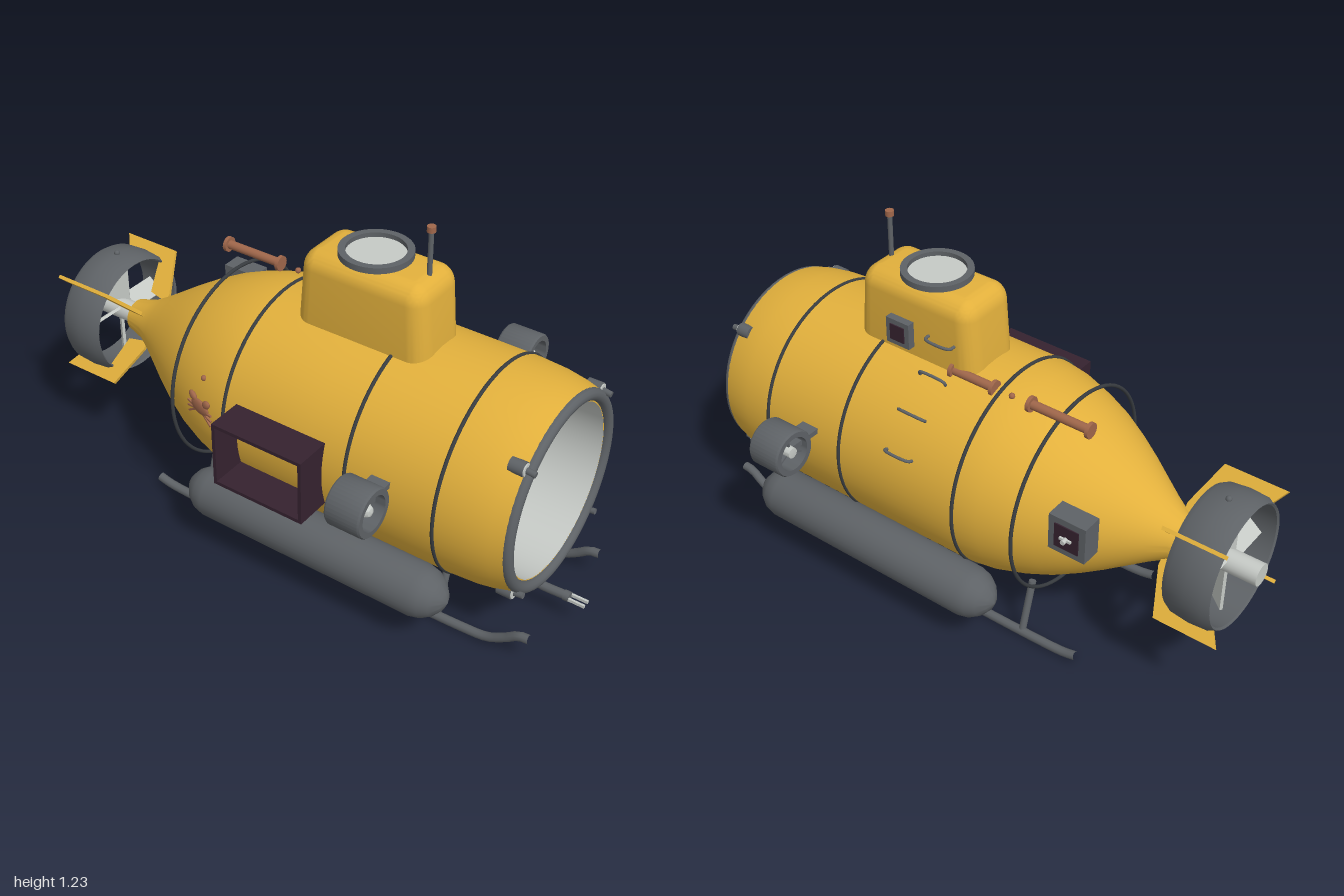
import * as THREE from 'three';
import { toCreasedNormals } from 'three/addons/utils/BufferGeometryUtils.js';
import { RoundedBoxGeometry } from 'three/addons/geometries/RoundedBoxGeometry.js';

const CY = 0.485; // height of the hull axis

export function createModel() {
  const root = new THREE.Group();
  root.name = 'submarine';
  const paint = (name, color, side = THREE.FrontSide) => {
    const m = new THREE.MeshStandardMaterial({ color, side });
    m.name = name;
    return m;
  };
  const yellow = paint('yellow', 0xe2b03c);
  const steel = paint('steel', 0x5e6266);
  const band = paint('darkBand', 0x383c40);
  const pale = paint('paleGrey', 0xc6cac6);
  const plum = paint('darkPlum', 0x35222f);
  const copper = paint('copper', 0xa0674b);

  const V = (p) => new THREE.Vector3(...p);
  const add = (name, geo, mat, pos = [0, 0, 0], rot = [0, 0, 0], parent = root) => {
    const m = new THREE.Mesh(geo, mat);
    m.name = name;
    m.position.set(...pos);
    m.rotation.set(...rot);
    parent.add(m);
    return m;
  };
  const box = (name, mat, size, pos, rot) => add(name, new THREE.BoxGeometry(...size), mat, pos, rot);
  // Turned part about the x axis, points are [x, radius]
  const turned = (name, pts, mat, pos = [0, CY, 0], seg = 64) => {
    const g = new THREE.LatheGeometry(pts.map(([x, r]) => new THREE.Vector2(r, x)), seg);
    g.rotateZ(-Math.PI / 2);
    return add(name, toCreasedNormals(g, 0.6), mat, pos);
  };
  const rod = (name, mat, a, b, r, seg = 16) => {
    const d = V(b).sub(V(a));
    const m = add(name, new THREE.CylinderGeometry(r, r, d.length(), seg), mat);
    m.position.copy(V(a)).addScaledVector(d, 0.5);
    m.quaternion.setFromUnitVectors(new THREE.Vector3(0, 1, 0), d.normalize());
    return m;
  };
  const tube = (name, mat, pts, r, seg = 32, pos, rot) =>
    add(name, new THREE.TubeGeometry(new THREE.CatmullRomCurve3(pts.map(V), false, 'centripetal'), seg, r, 10), mat, pos, rot);
  const hoop = (name, mat, x, R, r) =>
    add(name, new THREE.TorusGeometry(R, r, 12, 72), mat, [x, CY, 0], [0, Math.PI / 2, 0]);

  // Hull with open nose and pale cabin inside
  turned('hull', [[-0.79, 0], [-0.79, 0.055], [-0.72, 0.075], [-0.66, 0.11], [-0.6, 0.15], [-0.53, 0.197], [-0.46, 0.24],
    [-0.38, 0.283], [-0.3, 0.315], [-0.21, 0.342], [-0.12, 0.355], [0.2, 0.356], [0.65, 0.355], [0.75, 0.349], [0.82, 0.338],
    [0.865, 0.326], [0.865, 0.283]], yellow);
  turned('cabinInside', [[0.866, 0.284], [0.3, 0.284], [0.3, 0]], pale);
  hoop('noseRing', steel, 0.865, 0.307, 0.02);
  [[-0.34, 0.342], [-0.125, 0.355], [0.335, 0.356], [0.645, 0.355]].forEach(([x, R]) => hoop('hullBand', band, x, R, 0.006));

  // Conning tower, narrowing towards the top
  const tower = new RoundedBoxGeometry(0.48, 0.36, 0.23, 6, 0.06);
  const p = tower.attributes.position;
  for (let i = 0; i < p.count; i++) p.setX(i, p.getX(i) * (0.96 - p.getY(i) * 0.36));
  tower.computeVertexNormals();
  add('tower', toCreasedNormals(tower, 0.8), yellow, [0.21, 0.888, 0]);
  const hatch = new THREE.LatheGeometry([[0.093, 0], [0.115, 0], [0.115, 0.02], [0.093, 0.02], [0.093, 0]]
    .map((q) => new THREE.Vector2(...q)), 48);
  add('hatchRing', toCreasedNormals(hatch, 0.5), steel, [0.2, 1.069, 0]);
  add('hatchGlass', new THREE.CylinderGeometry(0.094, 0.094, 0.006, 48), pale, [0.2, 1.071, 0]);
  rod('antenna', steel, [0.385, 1.03, 0], [0.385, 1.21, 0], 0.008);
  rod('antennaCap', copper, [0.385, 1.207, 0], [0.385, 1.225, 0], 0.014);
  box('towerPanel', steel, [0.09, 0.09, 0.03], [0.25, 0.9, -0.126]);
  box('towerPanelInset', plum, [0.055, 0.055, 0.006], [0.25, 0.9, -0.142]);

  // Ladder rungs up the right side
  const rung = (pos, tilt) => tube('ladderRung', steel,
    [[-0.05, 0, 0], [-0.048, 0.02, 0], [-0.035, 0.027, 0], [0.035, 0.027, 0], [0.048, 0.02, 0], [0.05, 0, 0]], 0.005, 32, pos, [tilt, 0, 0]);
  [0.47, 0.83, 1.2].forEach((a) => rung([0.095, CY + 0.35 * Math.cos(a), -0.35 * Math.sin(a)], -a));
  rung([0.095, 0.92, -0.114], -Math.PI / 2);

  // Copper pipes on the back
  [[-0.46, -0.235, 0.83], [-0.11, 0.06, 0.828]].forEach(([x0, x1, y]) => {
    rod('pipe', copper, [x0, y, -0.11], [x1, y, -0.11], 0.015);
    [x0 + 0.006, x1 - 0.006].forEach((x) => rod('pipeFlange', copper, [x - 0.006, y, -0.11], [x + 0.006, y, -0.11], 0.026));
  });
  add('pipeKnob', new THREE.SphereGeometry(0.01, 12, 8), copper, [-0.17, 0.828, -0.11]);

  // Tail: duct, fins and propeller
  turned('tailDuct', [[-0.94, 0.197], [-0.945, 0.204], [-0.925, 0.216], [-0.865, 0.22], [-0.805, 0.214], [-0.785, 0.203],
    [-0.79, 0.197], [-0.94, 0.197]], steel);
  [1, -1].forEach((s) => add('ductBolt', new THREE.SphereGeometry(0.01, 12, 8), steel, [-0.865, CY + s * 0.222, 0]));
  const finShape = new THREE.Shape([[-0.97, 0.255], [-0.935, 0.2], [-0.8, 0.2], [-0.775, 0.09], [-0.7, 0.075], [-0.7, 0.105], [-0.755, 0.255]]
    .map((q) => new THREE.Vector2(...q)));
  const finGeo = new THREE.ExtrudeGeometry(finShape, { depth: 0.012, bevelEnabled: false }).translate(0, 0, -0.006);
  for (let i = 0; i < 4; i++) {
    add('tailFin', finGeo, yellow, [0, CY, 0], [Math.PI / 4 + (i * Math.PI) / 2, 0, 0]);
    const blade = new THREE.Group();
    blade.name = 'propellerBlade';
    blade.position.set(-0.87, CY, 0);
    blade.rotation.x = (i * Math.PI) / 2;
    add('blade', new THREE.BoxGeometry(0.07, 0.16, 0.01), pale, [0, 0.105, 0], [0, 0.7, 0], blade);
    root.add(blade);
  }
  rod('propellerHub', pale, [-1, CY, 0], [-0.78, CY, 0], 0.037, 24);

  // Instrument box on the right rear
  box('instrumentBox', steel, [0.13, 0.13, 0.07], [-0.515, 0.58, -0.27]);
  box('instrumentInset', plum, [0.085, 0.085, 0.006], [-0.515, 0.58, -0.306]);
  rod('instrumentKnob', pale, [-0.515, 0.58, -0.3], [-0.515, 0.58, -0.328], 0.008);
  box('instrumentHand', pale, [0.04, 0.008, 0.008], [-0.515, 0.58, -0.312]);

  // Open equipment locker on the left side
  const [bx, by, bz] = [0.0875, 0.485, 0.34];
  box('lockerBack', plum, [0.335, 0.23, 0.012], [bx, by, 0.226]);
  [-1, 1].forEach((s) => {
    box('lockerSide', plum, [0.012, 0.23, 0.24], [bx + s * 0.1615, by, bz]);
    box('lockerShelf', plum, [0.335, 0.012, 0.24], [bx, by + s * 0.109, bz]);
  });
  box('lockerCase', plum, [0.09, 0.1, 0.07], [0.07, 0.436, 0.268]);
  tube('lockerHose', copper, [[-0.055, 0.565, 0.24], [-0.02, 0.575, 0.24], [0, 0.55, 0.24], [-0.03, 0.525, 0.24], [-0.025, 0.5, 0.24]], 0.004);
  [[0.17, 0.57, 0.24, 0.5], [0.24, 0.57, 0.17, 0.51], [0.205, 0.54, 0.2, 0.41]].forEach(([a, b, c, d]) =>
    rod('lockerTool', copper, [a, b, 0.24], [c, d, 0.24], 0.004, 8));

  // Copper crab ornament on the left rear
  const crab = new THREE.Group();
  crab.name = 'crabOrnament';
  crab.position.set(-0.23, 0.525, 0.336);
  crab.rotation.y = -0.27;
  root.add(crab);
  add('crabBody', new THREE.SphereGeometry(1, 20, 12).scale(0.045, 0.026, 0.01), copper, [0, 0, 0], [0, 0, 0], crab);
  [-1, 1].forEach((s) => {
    add('crabClaw', new THREE.SphereGeometry(1, 12, 8).scale(0.02, 0.014, 0.009), copper, [s * 0.035, 0.026, 0], [0, 0, s * 0.6], crab);
    for (let i = 0; i < 3; i++) {
      add('crabLeg', new THREE.BoxGeometry(0.045, 0.006, 0.006), copper,
        [s * 0.04, -0.005 - i * 0.013, 0.002], [0, 0, s * (0.1 - i * 0.35)], crab);
    }
  });
  add('hullRivet', new THREE.SphereGeometry(0.01, 12, 8), copper, [-0.23, 0.62, 0.308]);

  // Arm with gripper under the nose
  tube('arm', steel, [[0.815, 0.17, 0], [0.815, 0.12, 0], [0.83, 0.1, 0], [0.94, 0.098, 0]], 0.015);
  [-1, 1].forEach((s) => box('gripperFinger', pale, [0.075, 0.01, 0.008], [0.963, 0.098, s * 0.012]));
  rod('gripperWrist', steel, [0.925, 0.098, 0], [0.945, 0.098, 0], 0.017);

  // Paired parts on both sides
  [1, -1].forEach((s) => {
    // Float
    const ends = [[0, 0], [0.012, 0.03], [0.035, 0.058], [0.065, 0.077], [0.1, 0.085]];
    turned('float', [...ends.map(([d, r]) => [-0.28 + d, r]), ...ends.map(([d, r]) => [0.705 - d, r]).reverse()],
      steel, [0, 0.205, s * 0.34], 32);

    // Skid and its legs
    tube('skid', steel, [[-0.52, 0.036, s * 0.232], [-0.48, 0.026, s * 0.232], [-0.4, 0.02, s * 0.232], [0.1, 0.015, s * 0.232],
      [0.7, 0.018, s * 0.232], [0.79, 0.028, s * 0.232], [0.85, 0.06, s * 0.232], [0.895, 0.092, s * 0.232], [0.93, 0.097, s * 0.232]], 0.015, 60);
    [-0.31, 0.15, 0.61].forEach((x) => rod('skidLeg', steel, [x, 0.2, s * 0.178], [x, 0.02, s * 0.23], 0.012));

    // Side thruster
    turned('thrusterDuct', [[0.405, 0.058], [0.405, 0.076], [0.411, 0.08], [0.52, 0.08], [0.526, 0.076], [0.526, 0.058], [0.405, 0.058]],
      steel, [0, 0.56, s * 0.478], 40);
    box('thrusterStrut', steel, [0.065, 0.018, 0.16], [0.46, 0.56, s * 0.395]);
    turned('thrusterHub', [[0.41, 0], [0.412, 0.018], [0.5, 0.022], [0.515, 0.014], [0.52, 0]], pale, [0, 0.56, s * 0.478], 20);
    for (let i = 0; i < 3; i++) {
      const a = (i * Math.PI * 2) / 3;
      box('thrusterBlade', steel, [0.03, 0.045, 0.006], [0.44, 0.56 + 0.036 * Math.cos(a), s * 0.478 + 0.036 * Math.sin(a)], [a, 0, 0]);
    }

    // Nose lamps
    [1, -1].forEach((t) => {
      const [y, z] = [CY + t * 0.232, s * 0.232];
      rod('lamp', steel, [0.815, y, z], [0.862, y, z], 0.023, 20);
      rod('lampLens', pale, [0.862, y, z], [0.866, y, z], 0.02, 20);
      rod('ringBolt', steel, [0.86, y, z], [0.895, y * 0.98 + CY * 0.02, z], 0.01, 12);
    });
  });

  return root;
}
